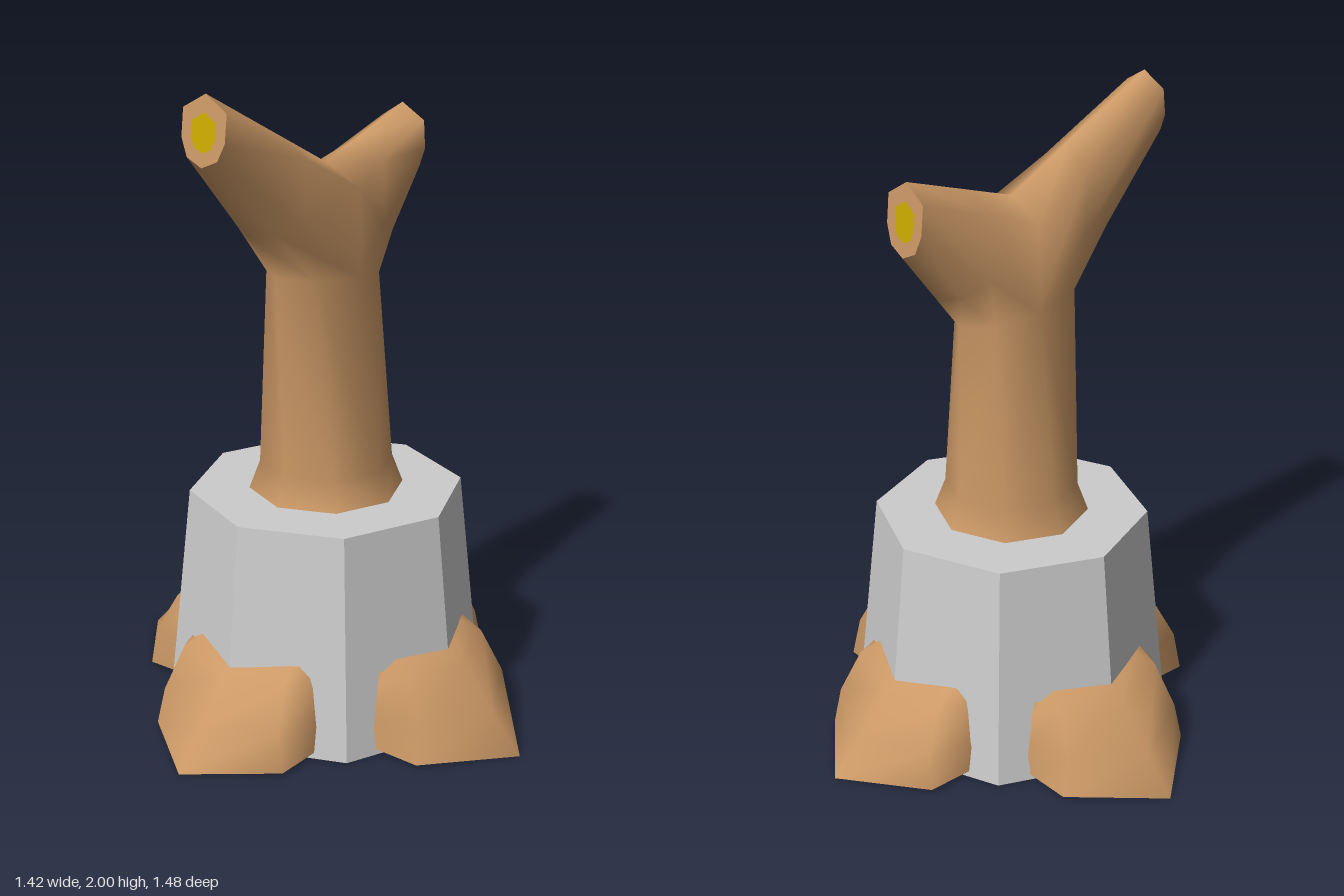
import * as THREE from 'three';
import { mergeVertices } from 'three/addons/utils/BufferGeometryUtils.js';

const bark = new THREE.MeshStandardMaterial({ color: 0xcc9966 });
bark.name = 'bark';
const rootBark = new THREE.MeshStandardMaterial({ color: 0xcc9966, side: THREE.DoubleSide });
rootBark.name = 'root bark';
const stone = new THREE.MeshStandardMaterial({ color: 0xcccccc, flatShading: true });
stone.name = 'stone';
const heartwood = new THREE.MeshStandardMaterial({ color: 0xccaa00 });
heartwood.name = 'heartwood';

// Collects triangles between rows of points; flip reverses the winding
function loft(out, rows, closed, flip) {
  for (let r = 0; r < rows.length - 1; r++) {
    const a = rows[r], b = rows[r + 1], n = a.length;
    for (let i = 0; i < (closed ? n : n - 1); i++) {
      const j = (i + 1) % n;
      const tris = [[a[i], a[j], b[j]], [a[i], b[j], b[i]]];
      for (const t of tris) out.push(...(flip ? t.reverse() : t));
    }
  }
}

function smoothMesh(name, points, material) {
  let g = new THREE.BufferGeometry().setFromPoints(points);
  g = mergeVertices(g, 1e-4);
  g.computeVertexNormals();
  const mesh = new THREE.Mesh(g, material);
  mesh.name = name;
  return mesh;
}

const V = (x, y, z) => new THREE.Vector3(x, y, z);

// Half ring of the trunk, from +z round side s to -z
function halfRing(s, rx, rz, yMid, ySide) {
  return [0, 1, 2, 3, 4].map(i => {
    const a = i * Math.PI / 4;
    return V(s * Math.sin(a) * rx, yMid + (ySide - yMid) * Math.sin(a), Math.cos(a) * rz);
  });
}

// Eight-sided cut end of a branch, from its top and bottom points
function tipRing(s, top, bottom) {
  const shape = [[0.38, 0.078], [0.12, 0.055], [0, 0], [0.12, -0.055],
    [0.38, -0.078], [0.78, -0.078], [1, 0], [0.78, 0.078]];
  return shape.map(([t, z]) => V(
    s * (bottom[0] + (top[0] - bottom[0]) * t),
    bottom[1] + (top[1] - bottom[1]) * t, z));
}

// One sheet-like root, given by half rows of [sideways, outward, height]
function rootMesh(name, angle, shift) {
  const half = [
    [[0.26, 0.37, 0.02], [0.25, 0.53, 0.01], [0, 0.71, 0]],
    [[0.26, 0.385, 0.13], [0.225, 0.52, 0.13], [0, 0.61, 0.11]],
    [[0.25, 0.385, 0.23], [0.2, 0.455, 0.255], [0, 0.5, 0.24]],
    [[0.2, 0.36, 0.3], [0.16, 0.37, 0.3], [0, 0.43, 0.28]],
  ];
  const rows = half.map(row => {
    const left = row.map(([u, r, y]) => V(-u, y, r + shift * (u === 0 ? 1 : 0.15)));
    const right = row.slice(0, 2).reverse().map(([u, r, y]) => V(u, y, r + shift * 0.15));
    return [...left, ...right];
  });
  const points = [];
  loft(points, rows, false, false);
  const mesh = smoothMesh(name, points, rootBark);
  mesh.rotation.y = angle;
  return mesh;
}

export function createModel() {
  const model = new THREE.Group();
  model.name = 'forkedTreeInPlanter';

  // Octagonal planter
  const planter = new THREE.Mesh(new THREE.CylinderGeometry(0.425, 0.5, 0.7, 8), stone);
  planter.name = 'planter';
  planter.position.y = 0.35;
  model.add(planter);

  // Trunk and fork, built as two halves that share the middle seam
  const wood = [];
  const sides = [
    { s: 1, rx: 0.2, ySide: 1.36, top: [0.38, 1.84], bottom: [0.4, 1.62], name: 'left' },
    { s: -1, rx: 0.24, ySide: 1.42, top: [0.525, 2.0], bottom: [0.55, 1.8], name: 'right' },
  ];
  for (const { s, rx, ySide, top, bottom, name } of sides) {
    const flip = s < 0;
    const fork = halfRing(s, rx, 0.13, 1.39, ySide);
    loft(wood, [
      halfRing(s, 0.24, 0.24, 0.7, 0.7),
      halfRing(s, 0.207, 0.205, 0.79, 0.79),
      fork,
    ], false, flip);

    const start = [...fork, V(0, 1.66, -0.125), V(0, 1.72, 0), V(0, 1.66, 0.125)];
    const tip = tipRing(s, top, bottom);
    const middle = start.map((p, i) => {
      const q = p.clone().lerp(tip[i], 0.4);
      q.z *= 0.88;
      return q;
    });
    loft(wood, [start, middle, tip], true, flip);

    // Cut end: bark rim with a heartwood centre
    const centre = tip.reduce((c, p) => c.add(p), V(0, 0, 0)).multiplyScalar(1 / 8);
    const inner = tip.map(p => p.clone().lerp(centre, 0.45));
    const rim = [], core = [];
    loft(rim, [tip, inner], true, flip);
    loft(core, [inner, inner.map(() => centre)], true, flip);
    model.add(smoothMesh(name + 'BranchRim', rim, bark));
    model.add(smoothMesh(name + 'BranchHeartwood', core, heartwood));
  }
  model.add(smoothMesh('trunk', wood, bark));

  // Roots spilling out on four sides
  ['frontRoot', 'leftRoot', 'backRoot', 'rightRoot'].forEach((name, i) => {
    model.add(rootMesh(name, i * Math.PI / 2, i % 2 ? 0 : 0.03));
  });

  return model;
}
